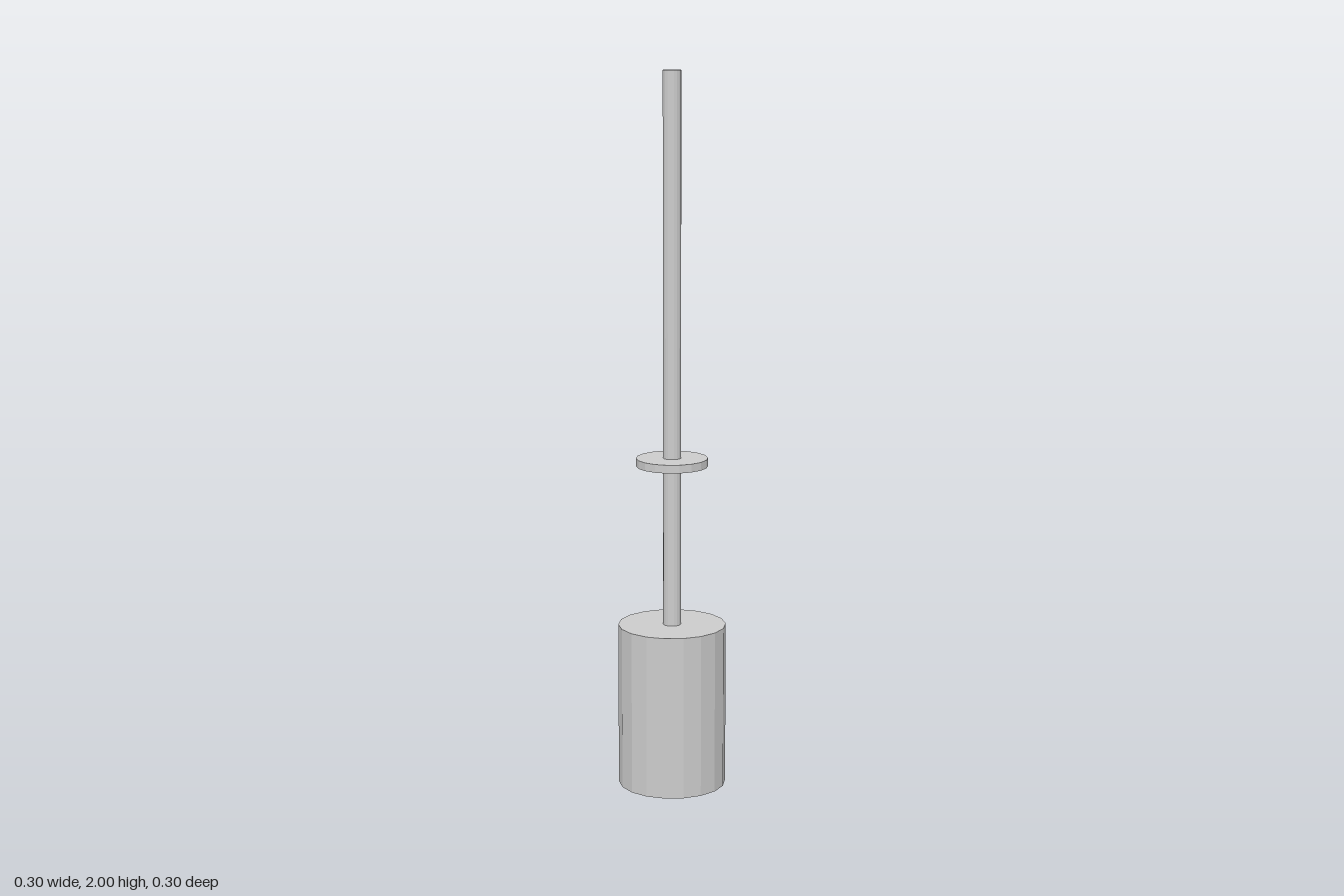
import * as THREE from 'three';

export function createModel() {
  const model = new THREE.Group();
  const material = new THREE.MeshStandardMaterial({ color: 0xcccccc, flatShading: true });

  // Upright 18-sided cylinder between two heights, with a corner on the x axis
  function addCylinder(name, radius, bottom, top) {
    const geometry = new THREE.CylinderGeometry(radius, radius, top - bottom, 18, 1, false, Math.PI / 2);
    const mesh = new THREE.Mesh(geometry, material);
    mesh.name = name;
    mesh.position.y = (bottom + top) / 2;
    model.add(mesh);
  }

  addCylinder('base', 0.151, 0, 0.462);
  addCylinder('rod', 0.025, 0.462, 2);
  addCylinder('collar', 0.1, 0.915, 0.938);

  return model;
}
